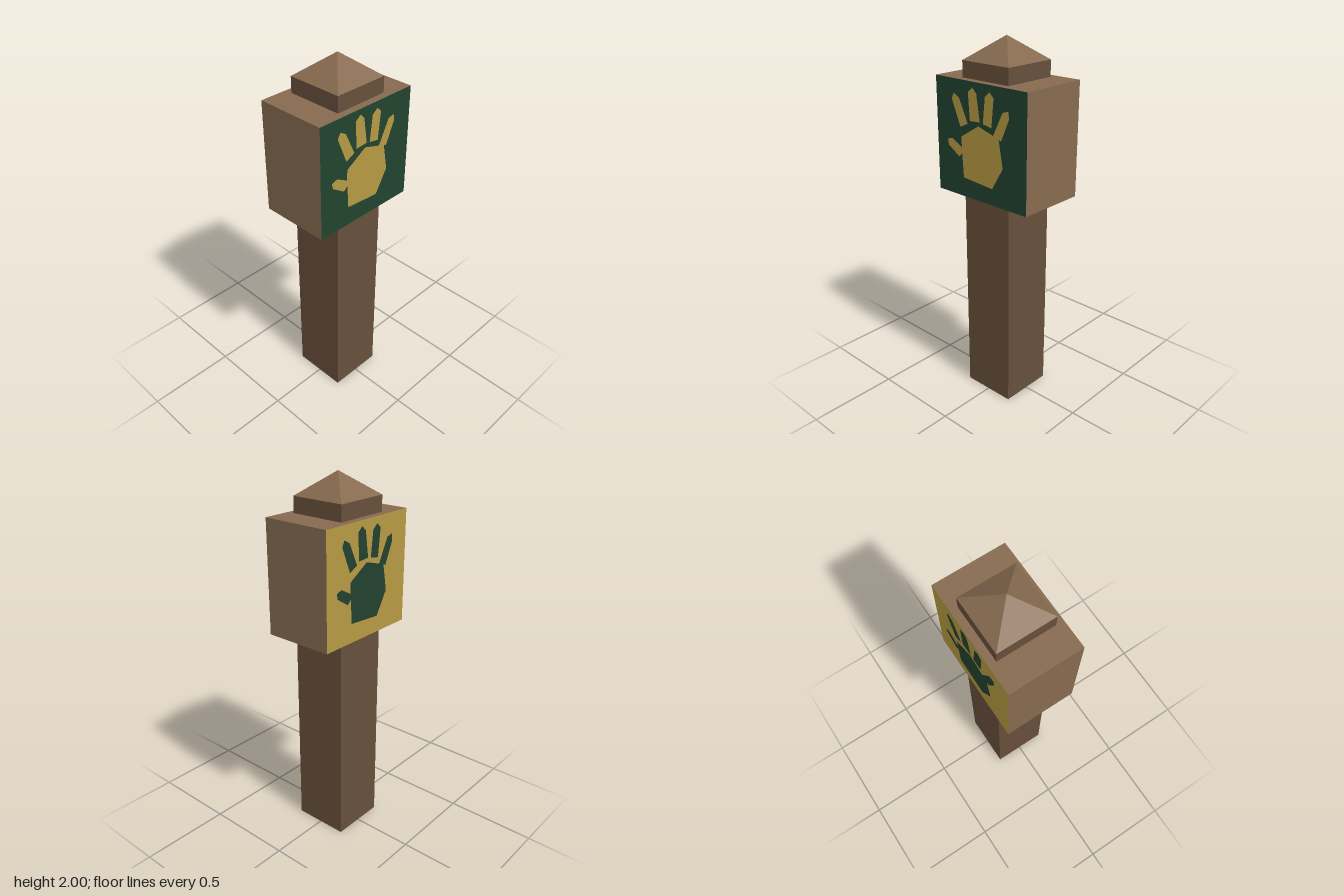
import * as THREE from 'three';

const HALF = 0.155;              // post half width
const W = 0.308, D = 0.195;      // sign box half width and half depth
const Y0 = 1.185, Y1 = 1.795;    // sign box bottom and top
const H = Y1 - Y0;

const material = (color) => new THREE.MeshStandardMaterial({ color, side: THREE.DoubleSide, flatShading: true });
const postWood = material(0x674f3b), boxWood = material(0x866a4f);
const green = material(0x22422f), yellow = material(0xb59943);

// Hand outlines: palm joined with thumb and little finger, then three loose fingers
const HAND = [
  [[-0.01, 1.58], [0.09, 1.55], [0.153, 1.675], [0.19, 1.686], [0.195, 1.65], [0.143, 1.532], [0.127, 1.538],
    [0.153, 1.395], [0.08, 1.273], [-0.122, 1.288], [-0.13, 1.416], [-0.153, 1.395], [-0.228, 1.443],
    [-0.235, 1.474], [-0.2, 1.485], [-0.132, 1.448], [-0.132, 1.506]],
  [[-0.196, 1.692], [-0.18, 1.723], [-0.143, 1.702], [-0.085, 1.58], [-0.138, 1.554]],
  [[-0.079, 1.74], [-0.048, 1.766], [-0.021, 1.74], [0, 1.601], [-0.069, 1.596]],
  [[0.037, 1.734], [0.069, 1.76], [0.095, 1.734], [0.079, 1.586], [0.021, 1.596]],
].map((outline) => outline.map(([x, y]) => new THREE.Vector2(x, y)));

function add(parent, name, geometry, mat, x = 0, y = 0, z = 0) {
  const mesh = new THREE.Mesh(geometry, mat);
  mesh.name = name;
  mesh.position.set(x, y, z);
  parent.add(mesh);
  return mesh;
}

// Flat sign face with a hand set flush into matching cutouts
function signFace(name, panelMat, handMat) {
  const face = new THREE.Group();
  face.name = name;
  const panel = new THREE.Shape([[-W, Y0], [W, Y0], [W, Y1], [-W, Y1]].map(([x, y]) => new THREE.Vector2(x, y)));
  panel.holes = HAND.map((outline) => new THREE.Path(outline));
  add(face, 'panel', new THREE.ShapeGeometry(panel), panelMat, 0, 0, D);
  add(face, 'hand', new THREE.ShapeGeometry(HAND.map((outline) => new THREE.Shape(outline))), handMat, 0, 0, D);
  return face;
}

export function createModel() {
  const model = new THREE.Group();
  model.name = 'handSignPost';

  // Square post, open underneath, with a pyramid cap
  const r = HALF * Math.SQRT2, capBase = 1.88, capHeight = 0.12;
  add(model, 'post', new THREE.CylinderGeometry(r, r, capBase, 4, 1, true, Math.PI / 4), postWood, 0, capBase / 2);
  add(model, 'cap', new THREE.ConeGeometry(r, capHeight, 4, 1, true, Math.PI / 4), boxWood, 0, capBase + capHeight / 2);

  // Sign box: wooden top and sides, open underneath
  const box = new THREE.Group();
  box.name = 'signBox';
  add(box, 'top', new THREE.PlaneGeometry(2 * W, 2 * D), boxWood, 0, Y1).rotation.x = -Math.PI / 2;
  for (const side of [-1, 1]) {
    const wall = add(box, side > 0 ? 'leftWall' : 'rightWall', new THREE.PlaneGeometry(2 * D, H), boxWood, side * W, (Y0 + Y1) / 2);
    wall.rotation.y = side * Math.PI / 2;
  }

  // Front and back faces swap the two colours
  const back = signFace('backFace', yellow, green);
  back.rotation.y = Math.PI;
  box.add(signFace('frontFace', green, yellow), back);
  model.add(box);
  return model;
}
